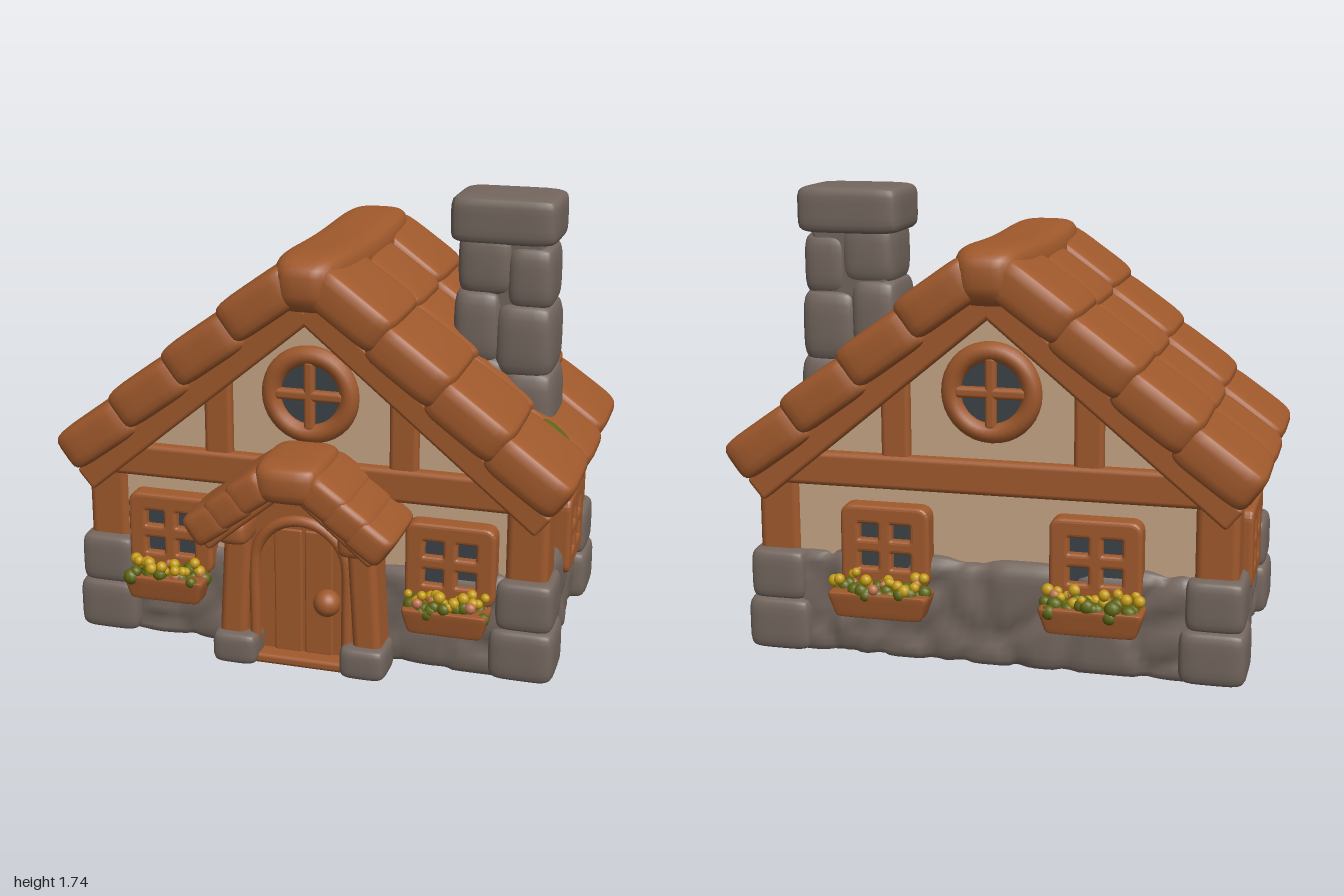
import * as THREE from 'three';
import { mergeVertices } from 'three/addons/utils/BufferGeometryUtils.js';
import { RoundedBoxGeometry } from 'three/addons/geometries/RoundedBoxGeometry.js';

const mat = (name, color) => {
  const m = new THREE.MeshStandardMaterial({ color });
  m.name = name;
  return m;
};

export function createModel() {
  const wood = mat('wood', 0xa0592c), plaster = mat('plaster', 0xc6a584), stone = mat('stone', 0x73665e);
  const glass = mat('glass', 0x3c4247), yellow = mat('yellow petals', 0xc29a10);
  const green = mat('leaves', 0x5c6410), pink = mat('pink petals', 0xbd7350);

  const root = new THREE.Group();
  root.name = 'cottage';
  const ZC = -0.07; // middle of the house in depth
  let seed = 7;
  const rnd = () => (seed = (seed * 16807) % 2147483647) / 2147483647;

  const add = (parent, name, geo, material, x = 0, y = 0, z = 0, rz = 0) => {
    const m = new THREE.Mesh(geo, material);
    m.name = name;
    m.position.set(x, y, z);
    m.rotation.z = rz;
    parent.add(m);
    return m;
  };
  const group = (parent, name, x = 0, y = 0, z = 0, ry = 0) => {
    const g = new THREE.Group();
    g.name = name;
    g.position.set(x, y, z);
    g.rotation.y = ry;
    parent.add(g);
    return g;
  };
  const rbox = (w, h, d, r = 0.02) => new RoundedBoxGeometry(w, h, d, 2, r);

  // Soft pillow block: a cube mapped onto a superellipsoid
  function puff(w, h, d, n = 6, segs = [10, 10, 10], rule = null) {
    let g = new THREE.BoxGeometry(2, 2, 2, ...segs);
    g.deleteAttribute('uv');
    g.deleteAttribute('normal');
    g = mergeVertices(g, 1e-4);
    const p = g.attributes.position, v = new THREE.Vector3();
    for (let i = 0; i < p.count; i++) {
      v.fromBufferAttribute(p, i);
      v.set(...v.toArray().map(c => Math.sin(c * Math.PI / 2)));
      const k = (Math.abs(v.x) ** n + Math.abs(v.y) ** n + Math.abs(v.z) ** n) ** (-1 / n);
      v.multiplyScalar(k);
      if (rule) rule(v);
      p.setXYZ(i, v.x * w / 2, v.y * h / 2, v.z * d / 2);
    }
    g.computeVertexNormals();
    return g;
  }

  // Plastered walls with gables
  const wallShape = new THREE.Shape([[-0.85, 0.2], [0.85, 0.2], [0.85, 0.68], [0, 1.38], [-0.85, 0.68]]
    .map(a => new THREE.Vector2(...a)));
  add(root, 'walls', new THREE.ExtrudeGeometry(wallShape, { depth: 0.9, bevelEnabled: false }), plaster, 0, 0, ZC - 0.45);

  // Rubble footing: block pushed outward by a cell pattern
  const footing = puff(1.76, 0.38, 0.94, 16, [80, 16, 48]);
  const cells = Array.from({ length: 80 }, (_, i) => {
    const u = rnd() * 2 - 1, s = i % 2 ? 1 : -1, y = (rnd() - 0.5) * 0.42;
    return i % 3 ? new THREE.Vector3(u * 0.88, y, s * 0.47) : new THREE.Vector3(s * 0.88, y, u * 0.47);
  });
  const fp = footing.attributes.position, fn = footing.attributes.normal;
  for (let i = 0; i < fp.count; i++) {
    const v = new THREE.Vector3().fromBufferAttribute(fp, i);
    const [a, b] = cells.map(c => c.distanceTo(v)).sort((m, n) => m - n);
    const k = Math.min(0.03, Math.sqrt(b - a) * 0.1);
    v.addScaledVector(new THREE.Vector3().fromBufferAttribute(fn, i), k);
    fp.setXYZ(i, v.x, Math.max(v.y, -0.185), v.z);
  }
  footing.computeVertexNormals();
  add(root, 'stoneFooting', footing, stone, 0, 0.2, ZC);
  for (const sx of [-1, 1]) for (const sz of [-1, 1]) {
    add(root, 'lowerCornerStone', puff(0.25, 0.21, 0.25), stone, sx * 0.82, 0.115, ZC + sz * 0.405);
    add(root, 'upperCornerStone', puff(0.22, 0.2, 0.23), stone, sx * 0.825, 0.305, ZC + sz * 0.4);
    add(root, 'cornerPost', rbox(0.16, 0.36, 0.17, 0.03), wood, sx * 0.825, 0.52, ZC + sz * 0.385);
  }

  // Four-pane window with a carved frame
  const rectPath = (P, x, y, w, h, r) => {
    const s = new P(), a = w / 2, b = h / 2;
    s.moveTo(x - a + r, y - b);
    s.lineTo(x + a - r, y - b).quadraticCurveTo(x + a, y - b, x + a, y - b + r);
    s.lineTo(x + a, y + b - r).quadraticCurveTo(x + a, y + b, x + a - r, y + b);
    s.lineTo(x - a + r, y + b).quadraticCurveTo(x - a, y + b, x - a, y + b - r);
    s.lineTo(x - a, y - b + r).quadraticCurveTo(x - a, y - b, x - a + r, y - b);
    return s;
  };
  const frame = rectPath(THREE.Shape, 0, 0, 0.31, 0.28, 0.03);
  for (const x of [-1, 1]) for (const y of [-1, 1])
    frame.holes.push(rectPath(THREE.Path, x * 0.062, y * 0.055, 0.1, 0.088, 0.02));
  const frameGeo = new THREE.ExtrudeGeometry(frame,
    { depth: 0.08, bevelThickness: 0.015, bevelSize: 0.015, bevelSegments: 3, curveSegments: 5 });
  function squareWindow(parent, x, y, z, ry = 0) {
    const g = group(parent, 'squareWindow', x, y, z, ry);
    add(g, 'windowFrame', frameGeo, wood, 0, 0, -0.08);
    add(g, 'windowGlass', new THREE.BoxGeometry(0.26, 0.23, 0.008), glass, 0, 0, -0.02);
  }

  // Tapered planter filled with leaves and blossoms
  const ball = new THREE.SphereGeometry(1, 9, 7);
  function flowerBox(parent, x, z, w) {
    const g = group(parent, 'flowerBox', x, 0.25, z);
    add(g, 'planter', puff(w, 0.1, 0.13, 12, [8, 8, 8], v => {
      v.x *= 0.92 + 0.08 * v.y;
      v.z *= 0.85 + 0.15 * v.y;
    }), wood);
    const blossoms = (name, m, count, r, low, high) => {
      for (let i = 0; i < count; i++) {
        const u = ((i + rnd()) / count - 0.5) * (w - 0.04);
        const b = add(g, name, ball, m, u, low + rnd() * (high - low), (rnd() - 0.5) * 0.1);
        b.scale.setScalar(r * (0.8 + 0.4 * rnd()));
      }
    };
    blossoms('leaf', green, 24, 0.026, 0.03, 0.065);
    blossoms('yellowFlower', yellow, 16, 0.02, 0.06, 0.105);
    blossoms('pinkFlower', pink, 4, 0.02, 0.055, 0.085);
  }

  // Timbered gable ends, front and back
  function facade(name, ry, windowX, boxZ, boxW) {
    const g = group(root, name, 0, 0, ZC, ry);
    add(g, 'crossBeam', rbox(1.6, 0.13, 0.09), wood, 0, 0.725, 0.445);
    for (const s of [-1, 1]) {
      add(g, 'gablePost', rbox(0.11, 0.34, 0.08), wood, s * 0.36, 0.94, 0.44);
      squareWindow(g, s * windowX, 0.45, 0.505);
      flowerBox(g, s * windowX, boxZ, boxW);
    }
    const w = group(g, 'roundWindow', 0, 1.04, 0.455);
    add(w, 'roundFrame', new THREE.TorusGeometry(0.15, 0.038, 12, 36), wood);
    add(w, 'roundGlass', new THREE.CylinderGeometry(0.14, 0.14, 0.008, 32).rotateX(Math.PI / 2), glass);
    add(w, 'uprightBar', rbox(0.042, 0.27, 0.04, 0.015), wood, 0, 0, 0.01);
    add(w, 'levelBar', rbox(0.27, 0.042, 0.04, 0.015), wood, 0, 0, 0.01);
  }
  facade('frontGable', 0, 0.55, 0.555, 0.33);
  facade('backGable', Math.PI, 0.395, 0.565, 0.39);
  for (const s of [-1, 1]) squareWindow(root, s * 0.915, 0.44, -0.13, s * Math.PI / 2);

  // Main roof: boards below, three strips of overlapping tiles on each slope
  const pitch = Math.atan(0.83);
  const strips = [[0.295, 0.44, 0], [-0.085, 0.37, -0.015], [-0.455, 0.42, 0]];
  for (const s of [-1, 1]) {
    add(root, 'roofBoards', rbox(1.16, 0.1, 1.07, 0.015), wood, s * 0.445, 1.01, ZC, -s * pitch);
    for (const [z, depth, drop] of strips) for (let k = 0; k < 4; k++)
      add(root, 'roofTile', puff(0.34, 0.17, depth, 6, [10, 8, 12], v => {
        v.z *= 0.97 + 0.03 * v.x * s;
      }), wood, s * (0.17 + 0.22 * k), 1.388 - 0.185 * k + drop, z, -s * (pitch - 0.07));
  }
  add(root, 'ridgeCap', puff(0.29, 0.26, 1.17, 4, [14, 12, 24], v => {
    v.y -= 0.3 * (1 - v.z * v.z);
  }), wood, 0, 1.47, -0.075);
  add(root, 'moss', puff(0.16, 0.1, 0.07, 3), green, 0.85, 0.86, 0.105, -pitch);

  // Chimney of stacked stones
  const rows = [[0.94, 0.36, 0.65, 0.31, 0.38], [1.22, 0.3, 0.62, 0.3, 0.36], [1.46, 0.25, 0.66, 0.27, 0.34]];
  for (const [y, h, split, depth, w] of rows) {
    const x0 = 0.64 - w / 2, x1 = 0.64 + w / 2;
    for (const [a, b, shift] of [[x0, split, 0.025], [split, x1, -0.02]])
      add(root, 'chimneyStone', puff(b - a + 0.03, h, depth, 4.5), stone, (a + b) / 2, y + shift, -0.1);
  }
  add(root, 'chimneyCore', rbox(0.3, 0.75, 0.23), stone, 0.635, 1.22, -0.105);
  add(root, 'chimneyCap', puff(0.41, 0.18, 0.32, 7), stone, 0.63, 1.65, -0.115);

  // Porch: arched doorway, posts on stone feet, small tiled roof
  const arch = (P, w, base, spring) => {
    const s = new P();
    s.moveTo(-w, base);
    s.lineTo(w, base).lineTo(w, spring).absarc(0, spring, w, 0, Math.PI, false).lineTo(-w, base);
    return s;
  };
  const porch = group(root, 'porch');
  const surround = new THREE.Shape([[-0.29, 0.02], [0.29, 0.02], [0.29, 0.56], [0, 0.79], [-0.29, 0.56]]
    .map(a => new THREE.Vector2(...a)));
  surround.holes.push(arch(THREE.Path, 0.18, 0.03, 0.41));
  add(porch, 'doorSurround', new THREE.ExtrudeGeometry(surround, { depth: 0.15, bevelEnabled: false }), wood, 0, 0, 0.37);
  add(porch, 'door', new THREE.ExtrudeGeometry(arch(THREE.Shape, 0.18, 0.02, 0.41),
    { depth: 0.1, bevelEnabled: false, curveSegments: 20 }), wood, 0, 0, 0.38);
  const trim = [[-0.18, 0.03], [-0.18, 0.22]];
  for (let i = 0; i <= 10; i++) {
    const t = Math.PI * (1 - i / 10);
    trim.push([0.18 * Math.cos(t), 0.41 + 0.18 * Math.sin(t)]);
  }
  trim.push([0.18, 0.22], [0.18, 0.03]);
  const trimCurve = new THREE.CatmullRomCurve3(trim.map(([x, y]) => new THREE.Vector3(x, y, 0)));
  add(porch, 'doorTrim', new THREE.TubeGeometry(trimCurve, 60, 0.022, 8), wood, 0, 0, 0.52);
  for (const x of [-0.06, 0.06])
    add(porch, 'doorBatten', rbox(0.11, 0.5, 0.02, 0.008), wood, x, 0.29, 0.478);
  add(porch, 'doorKnob', new THREE.SphereGeometry(0.052, 20, 14), wood, 0.1, 0.27, 0.51);
  add(porch, 'doorStep', rbox(0.38, 0.04, 0.14, 0.015), wood, 0, 0.025, 0.48);
  for (const s of [-1, 1]) {
    add(porch, 'porchPost', rbox(0.11, 0.48, 0.16, 0.03), wood, s * 0.25, 0.33, 0.475, s * 0.06);
    add(porch, 'porchFoot', puff(0.18, 0.13, 0.19, 5), stone, s * 0.25, 0.065, 0.495);
    add(porch, 'porchBracket', puff(0.12, 0.1, 0.2, 4), wood, s * 0.23, 0.56, 0.55);
    add(porch, 'porchBoards', rbox(0.4, 0.06, 0.26, 0.015), wood, s * 0.17, 0.65, 0.55, -s * 0.69);
    for (let k = 0; k < 3; k++)
      add(porch, 'porchTile', puff(0.17, 0.135, 0.35, 6), wood,
        s * (0.14 + 0.083 * k), 0.745 - 0.068 * k, 0.54, -s * 0.62);
  }
  add(porch, 'porchRidge', puff(0.26, 0.16, 0.37, 4), wood, 0, 0.79, 0.54);

  return root;
}
